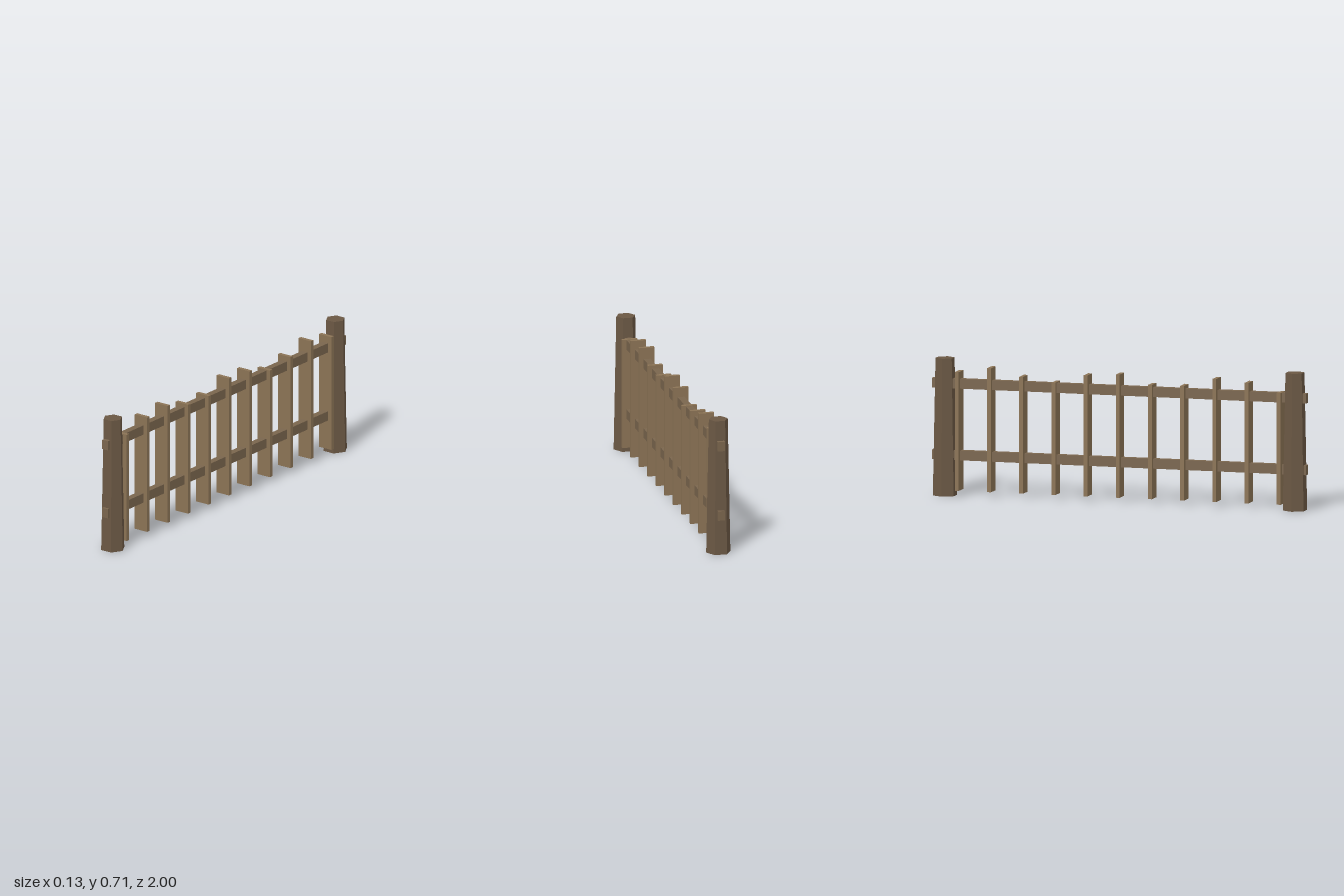
import * as THREE from 'three';

const wood = (color) => new THREE.MeshStandardMaterial({ color, flatShading: true });

export function createModel() {
  const fence = new THREE.Group();
  fence.name = 'fence';
  const postWood = wood(0x6b5844);
  const railWood = wood(0x7a654d);
  const picketWood = wood(0x8b7355);

  const add = (name, geometry, material, y, z) => {
    const mesh = new THREE.Mesh(geometry, material);
    mesh.name = name;
    mesh.position.set(0, y, z);
    fence.add(mesh);
  };

  // Tapered hexagonal end posts, corners pointing along x
  const postHeight = 0.71;
  const postGeometry = new THREE.CylinderGeometry(0.05, 0.064, postHeight, 6).rotateY(Math.PI / 6);
  add('frontPost', postGeometry, postWood, postHeight / 2, 0.935);
  add('backPost', postGeometry, postWood, postHeight / 2, -0.935);

  // Rails running through both posts
  const railGeometry = new THREE.BoxGeometry(0.036, 0.05, 2);
  add('lowerRail', railGeometry, railWood, 0.21, 0);
  add('upperRail', railGeometry, railWood, 0.58, 0);

  // Pickets of uneven height, from front to back
  const bottom = 0.03;
  const tops = [0.607, 0.652, 0.665, 0.622, 0.62, 0.666, 0.655, 0.61, 0.633, 0.67, 0.643];
  tops.forEach((top, i) => {
    const height = top - bottom;
    add(`picket${i + 1}`, new THREE.BoxGeometry(0.08, height, 0.021), picketWood,
      bottom + height / 2, 0.86 - i * 0.172);
  });

  return fence;
}
